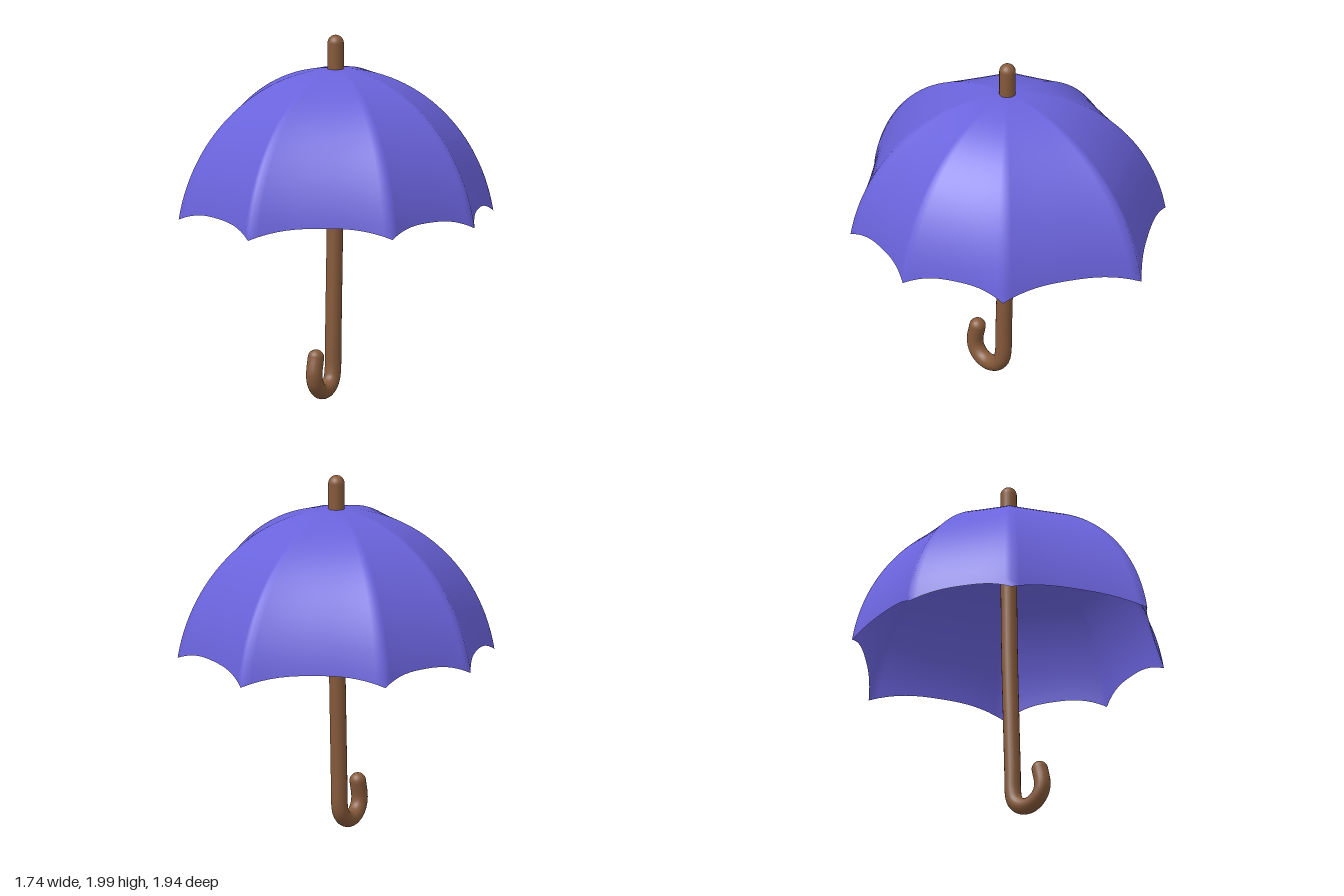
import * as THREE from 'three';

const SEGS = 16;   // columns per canopy panel
const RINGS = 28;  // rows from apex to rim
const SHAFT_R = 0.045;
const TOP = 1.815, RIM = 1.003;
const SWEEP = THREE.MathUtils.degToRad(80); // arc of each rib

// Canopy rib tips, in order round the rim (x, z)
const TIPS = [[0.87, 0], [0.672, 0.553], [0, 0.968], [-0.672, 0.553],
  [-0.87, 0], [-0.672, -0.553], [0, -0.968], [0.672, -0.553]];

function canopyGeometry() {
  const positions = [0, TOP, 0];
  const index = [];
  const cols = TIPS.length * SEGS;
  for (let i = 1; i <= RINGS; i++) {
    const t = i / RINGS, angle = SWEEP * t;
    const radius = Math.sin(angle) / Math.sin(SWEEP);
    const y = TOP - (TOP - RIM) * (1 - Math.cos(angle)) / (1 - Math.cos(SWEEP));
    for (let c = 0; c < cols; c++) {
      const k = Math.floor(c / SEGS), f = (c % SEGS) / SEGS;
      const a = TIPS[k], b = TIPS[(k + 1) % TIPS.length];
      const x = a[0] + (b[0] - a[0]) * f, z = a[1] + (b[1] - a[1]) * f;
      // Cloth sags inward between ribs and the rim is scalloped upward
      const arch = 1 - Math.pow(Math.abs(2 * f - 1), 2.7);
      const scale = radius * (1 - 0.035 * arch * t);
      positions.push(x * scale, y + 0.06 * arch * Math.pow(t, 5), z * scale);
    }
  }
  for (let c = 0; c < cols; c++) {
    const n = (c + 1) % cols;
    index.push(0, 1 + n, 1 + c);
    for (let i = 0; i < RINGS - 1; i++) {
      const r0 = 1 + i * cols, r1 = r0 + cols;
      index.push(r0 + c, r0 + n, r1 + c, r0 + n, r1 + n, r1 + c);
    }
  }
  const g = new THREE.BufferGeometry();
  g.setAttribute('position', new THREE.Float32BufferAttribute(positions, 3));
  g.setIndex(index);
  g.computeVertexNormals();
  return g;
}

// Slightly leaning shaft running into a round hook
function handlePath() {
  const points = [[1.955, 0.004], [1.5, 0.005], [1, 0.011], [0.6, 0.022], [0.3, 0.031]];
  for (let i = 0; i <= 6; i++) {
    const a = Math.PI * i / 6;
    points.push([0.153 - 0.103 * Math.sin(a), 0.137 - 0.102 * Math.cos(a)]);
  }
  points.push([0.247, 0.221]);
  return new THREE.CatmullRomCurve3(points.map(([y, z]) => new THREE.Vector3(0, y, z)));
}

export function createModel() {
  const group = new THREE.Group();
  const cloth = new THREE.MeshStandardMaterial({ name: 'purple cloth', color: 0x6a63dc, side: THREE.DoubleSide });
  const wood = new THREE.MeshStandardMaterial({ name: 'brown wood', color: 0x85593a });

  const add = (name, geometry, material) => {
    const mesh = new THREE.Mesh(geometry, material);
    mesh.name = name;
    group.add(mesh);
    return mesh;
  };

  add('canopy', canopyGeometry(), cloth);

  const path = handlePath();
  add('shaftAndHandle', new THREE.TubeGeometry(path, 140, SHAFT_R, 20), wood);

  // Rounded ends
  const ball = new THREE.SphereGeometry(SHAFT_R, 20, 14);
  add('topCap', ball, wood).position.copy(path.getPoint(0));
  add('handleCap', ball, wood).position.copy(path.getPoint(1));

  return group;
}
